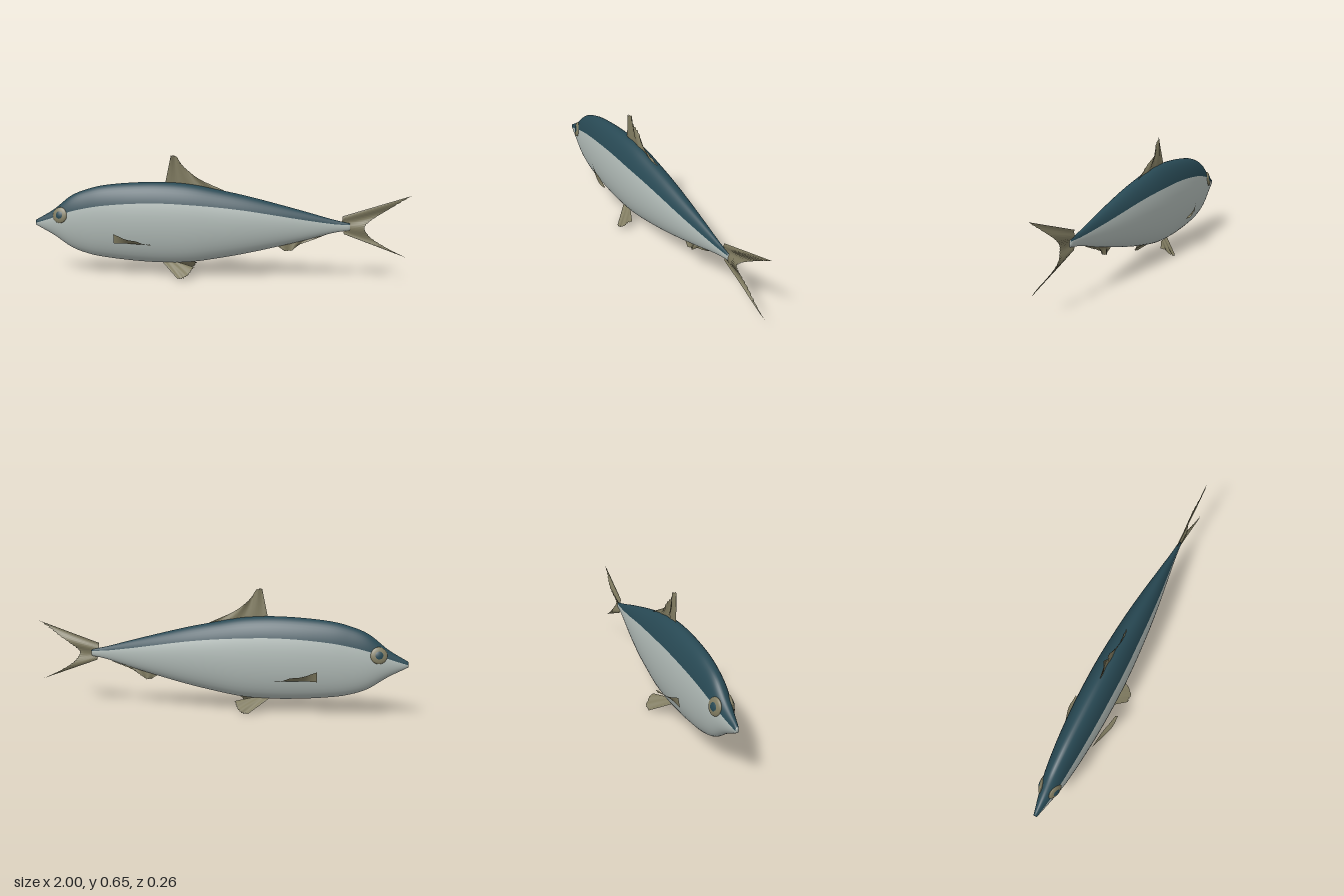
import * as THREE from 'three';

const material = (name, color, side = THREE.FrontSide) =>
  Object.assign(new THREE.MeshStandardMaterial({ color, side }), { name });

const V = (p) => new THREE.Vector3(...p);

// Stations along the body: x, top, bottom, half width, height of the colour line
const STATIONS = [
  [-1, 0.29, 0.262, 0.009, 0.274], [-0.9, 0.348, 0.208, 0.034, 0.306],
  [-0.8, 0.425, 0.142, 0.055, 0.343], [-0.7, 0.465, 0.107, 0.068, 0.367],
  [-0.6, 0.487, 0.09, 0.078, 0.383], [-0.45, 0.501, 0.076, 0.088, 0.396],
  [-0.3, 0.505, 0.07, 0.092, 0.4], [-0.15, 0.495, 0.076, 0.091, 0.394],
  [0, 0.468, 0.1, 0.084, 0.383], [0.15, 0.437, 0.13, 0.073, 0.366],
  [0.3, 0.4, 0.166, 0.057, 0.343], [0.45, 0.361, 0.205, 0.037, 0.319],
  [0.6, 0.32, 0.248, 0.017, 0.298], [0.69, 0.3, 0.264, 0.008, 0.292],
];

// Elliptical loft; each ring is split at the colour line into back and belly
function bodyGeometry() {
  const RINGS = 80, UP = 18, LOW = 26, N = UP + LOW;
  const outline = new THREE.CatmullRomCurve3(
    STATIONS.map((s) => V([s[0], s[1], s[2]])), false, 'catmullrom');
  const widths = new THREE.CatmullRomCurve3(
    STATIONS.map((s) => V([s[0], s[3], s[4]])), false, 'catmullrom');
  const pos = [], back = [], belly = [];
  for (let i = 0; i <= RINGS; i++) {
    const o = outline.getPoint(i / RINGS), w = widths.getPoint(i / RINGS);
    const cy = (o.y + o.z) / 2, ry = (o.y - o.z) / 2;
    const a0 = Math.asin(THREE.MathUtils.clamp((w.z - cy) / ry, -0.95, 0.95));
    for (let j = 0; j < N; j++) {
      const a = j < UP
        ? a0 + (Math.PI - 2 * a0) * j / UP
        : Math.PI - a0 + (Math.PI + 2 * a0) * (j - UP) / LOW;
      pos.push(o.x, cy + ry * Math.sin(a), w.y * Math.cos(a));
      if (i < RINGS) {
        const p = i * N + j, q = i * N + (j + 1) % N;
        (j < UP ? back : belly).push(p, p + N, q, q, p + N, q + N);
      }
    }
  }
  // Caps at the snout and the tail root
  const snout = pos.length / 3, root = snout + 1, last = RINGS * N;
  pos.push(-1, 0.276, 0, 0.69, 0.282, 0);
  for (let j = 0; j < N; j++) {
    const k = (j + 1) % N;
    belly.push(snout, j, k, root, last + k, last + j);
  }
  const g = new THREE.BufferGeometry();
  g.setAttribute('position', new THREE.Float32BufferAttribute(pos, 3));
  g.setIndex([...back, ...belly]);
  g.addGroup(0, back.length, 0);
  g.addGroup(back.length, belly.length, 1);
  g.computeVertexNormals();
  return g;
}

// Rippled membrane between a root edge and a ragged outer edge
function finGeometry(rootPts, tipPts, { rays, ripple, waves, dir = [0, 0, 1], ragged = 0.06 }) {
  const root = new THREE.CatmullRomCurve3(rootPts.map(V));
  const tip = new THREE.CatmullRomCurve3(tipPts.map(V));
  const push = V(dir).normalize(), ROWS = 5, pos = [], idx = [];
  for (let i = 0; i <= rays; i++) {
    const u = i / rays, a = root.getPoint(u), b = tip.getPoint(u);
    const cut = i === 0 || i === rays ? 0 : ragged * (i % 2) * (0.6 + 0.4 * Math.sin(i * 2.7));
    for (let j = 0; j <= ROWS; j++) {
      const v = j / ROWS;
      const wave = Math.sin(u * waves * Math.PI * 2 + v * 1.5) + (i % 2 ? 0.3 : -0.3);
      const p = a.clone().lerp(b, v * (1 - cut)).addScaledVector(push, ripple * wave * (0.3 + 0.7 * v));
      pos.push(p.x, p.y, p.z);
      if (i < rays && j < ROWS) {
        const k = i * (ROWS + 1) + j, m = k + ROWS + 1;
        idx.push(k, m, k + 1, k + 1, m, m + 1);
      }
    }
  }
  const g = new THREE.BufferGeometry();
  g.setAttribute('position', new THREE.Float32BufferAttribute(pos, 3));
  g.setIndex(idx);
  g.computeVertexNormals();
  return g;
}

export function createModel() {
  const model = new THREE.Group();
  model.name = 'fish';
  const teal = material('dark teal back', 0x284954);
  const silver = material('silver belly', 0xb0bab6);
  const olive = material('olive fin', 0x817c61, THREE.DoubleSide);

  const add = (name, geometry, mat, parent = model) => {
    const mesh = new THREE.Mesh(geometry, mat);
    mesh.name = name;
    parent.add(mesh);
    return mesh;
  };

  add('body', bodyGeometry(), [teal, silver]);

  // Fins on the centre line
  add('dorsalFin', finGeometry(
    [[-0.285, 0.495, 0], [-0.2, 0.49, 0], [-0.1, 0.478, 0], [0.03, 0.455, 0]],
    [[-0.25, 0.652, 0.008], [-0.225, 0.645, 0.006], [-0.19, 0.595, 0], [-0.12, 0.535, 0], [0.03, 0.463, 0]],
    { rays: 32, ripple: 0.006, waves: 2.5 }), olive);
  add('analFin', finGeometry(
    [[0.31, 0.175, 0], [0.42, 0.205, 0], [0.57, 0.245, 0]],
    [[0.355, 0.145, 0], [0.385, 0.148, 0], [0.43, 0.18, 0], [0.57, 0.238, 0]],
    { rays: 26, ripple: 0.006, waves: 2.5, ragged: 0.15 }), olive);
  add('tailFin', finGeometry(
    [[0.65, 0.337, 0], [0.65, 0.29, 0], [0.66, 0.243, 0]],
    [[1, 0.45, 0], [0.9, 0.385, 0], [0.81, 0.325, 0], [0.765, 0.28, 0],
      [0.79, 0.235, 0], [0.87, 0.18, 0], [0.99, 0.123, 0]],
    { rays: 44, ripple: 0.007, waves: 2, ragged: 0.05 }), olive);

  for (const s of [1, -1]) {
    const side = s > 0 ? 'Front' : 'Rear';
    const flip = (pts) => pts.map(([x, y, z]) => [x, y, z * s]);

    // Paired fins
    add('pectoralFin' + side, finGeometry(
      flip([[-0.55, 0.182, 0.08], [-0.46, 0.185, 0.09], [-0.39, 0.184, 0.105], [-0.345, 0.184, 0.114]]),
      flip([[-0.55, 0.232, 0.088], [-0.46, 0.21, 0.117], [-0.39, 0.196, 0.13], [-0.34, 0.186, 0.126]]),
      { rays: 20, ripple: 0.003, waves: 2, dir: [0, 1, 0.3 * s] }), olive);
    add('pelvicFin' + side, finGeometry(
      flip([[-0.3, 0.076, 0.02], [-0.25, 0.076, 0.022], [-0.21, 0.077, 0.026]]),
      flip([[-0.2, 0.004, 0.117], [-0.165, 0.014, 0.118], [-0.14, 0.038, 0.1], [-0.12, 0.064, 0.068]]),
      { rays: 20, ripple: 0.003, waves: 2.5, dir: [0, 0.8, 0.6 * s] }), olive);

    // Eye: flattened iris with a smaller pupil bulging through it
    const eye = new THREE.Group();
    eye.name = 'eye' + side;
    eye.position.set(-0.853, 0.323, 0.038 * s);
    eye.quaternion.setFromUnitVectors(V([0, 0, 1]), V([-0.25, 0.22, s]).normalize());
    add('iris', new THREE.SphereGeometry(0.043, 28, 16), olive, eye).scale.z = 0.28;
    add('pupil', new THREE.SphereGeometry(0.03, 24, 14), teal, eye).scale.z = 0.48;
    model.add(eye);
  }
  return model;
}
